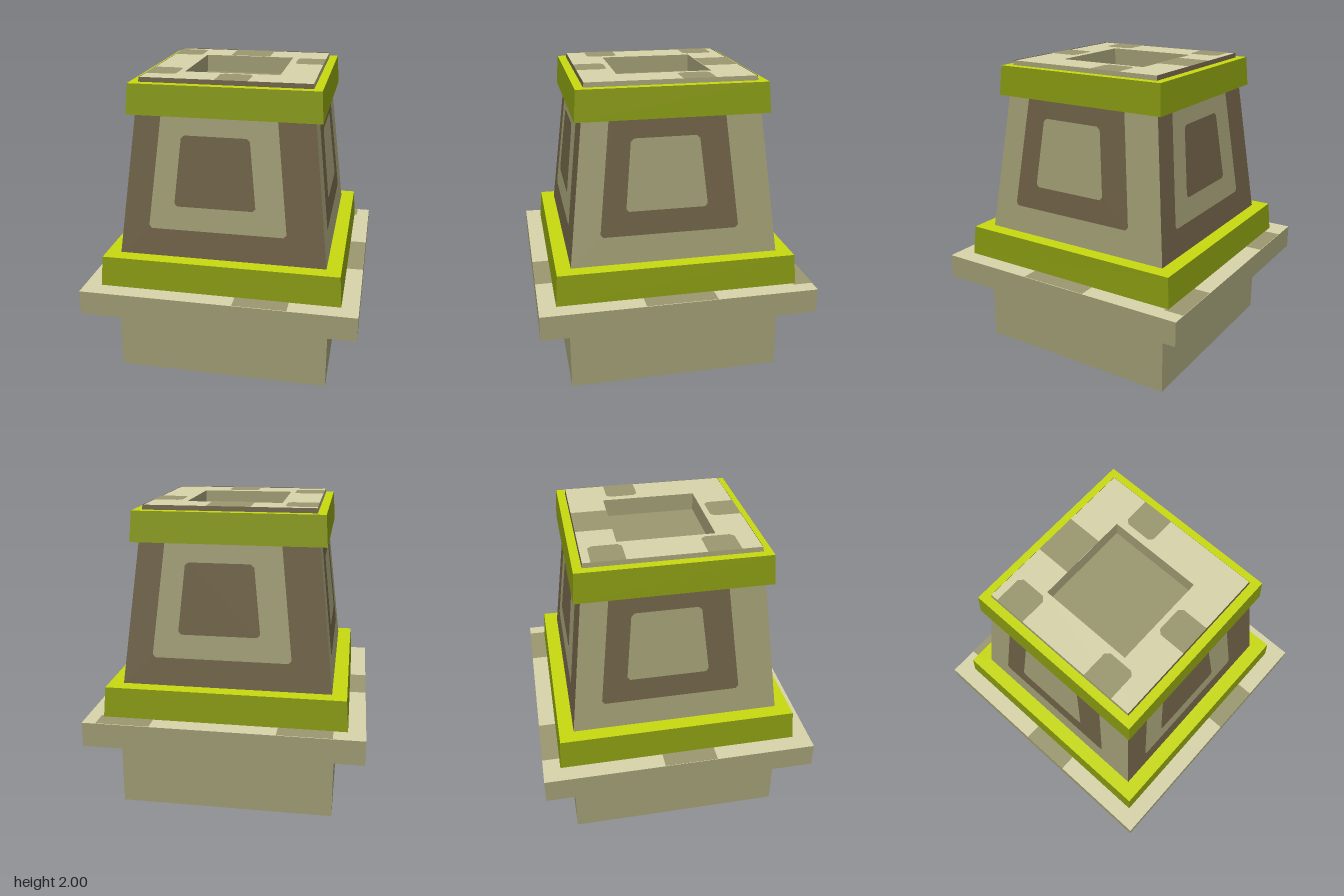
import * as THREE from 'three';

const material = (name, color) => {
  const m = new THREE.MeshStandardMaterial({ color, side: THREE.DoubleSide, flatShading: true });
  m.name = name;
  return m;
};

export function createModel() {
  const pale = material('pale stone', 0xd6d2a9);
  const stone = material('stone', 0x99966f);
  const brown = material('brown panel', 0x695c42);
  const lime = material('bright green trim', 0xc6d810);
  const green = material('green trim', 0x829310);
  const model = new THREE.Group();

  const add = (name, geometry, mat, parent = model) => {
    const mesh = new THREE.Mesh(geometry, mat);
    mesh.name = name;
    parent.add(mesh);
    return mesh;
  };

  // Polygon with its corners cut by c, except those lying on the border
  const cutShape = (corners, c = 0, border = Infinity) => {
    const p = corners.map(([x, y]) => new THREE.Vector2(x, y));
    const out = [];
    p.forEach((v, i) => {
      if (!c || Math.max(Math.abs(v.x), Math.abs(v.y)) >= border) return out.push(v);
      for (const w of [p[(i + p.length - 1) % p.length], p[(i + 1) % p.length]]) {
        out.push(v.clone().add(w.clone().sub(v).setLength(c)));
      }
    });
    return new THREE.Shape(out);
  };
  const rect = (x0, x1, y0, y1) => [[x0, y0], [x1, y0], [x1, y1], [x0, y1]];

  // Horizontal sheet facing up; z0 < z1
  const flat = (name, x0, x1, z0, z1, y, mat, c = 0, border = Infinity) => {
    const g = new THREE.ShapeGeometry(cutShape(rect(x0, x1, -z1, -z0), c, border));
    add(name, g.rotateX(-Math.PI / 2).translate(0, y, 0), mat);
  };

  // Horizontal square frame, facing up or down
  const frame = (name, half, hole, y, mat, turn = -Math.PI / 2) => {
    const s = cutShape(rect(-half, half, -half, half));
    s.holes.push(new THREE.Path(cutShape(rect(-hole, hole, -hole, hole)).getPoints().reverse()));
    add(name, new THREE.ShapeGeometry(s).rotateX(turn).translate(0, y, 0), mat);
  };

  // Four upright sheets around a square; inward flips them to line a pit
  const walls = (name, half, y0, y1, mat, inward = false) => {
    for (let k = 0; k < 4; k++) {
      const g = new THREE.PlaneGeometry(half * 2, y1 - y0);
      if (inward) g.rotateY(Math.PI);
      g.translate(0, (y0 + y1) / 2, half).rotateY(k * Math.PI / 2);
      add(name, g, mat);
    }
  };

  // Sloping band around the body with a brighter top
  const band = (name, low, high, y0, y1, hole) => {
    const g = new THREE.CylinderGeometry(high * Math.SQRT2, low * Math.SQRT2, y1 - y0, 4, 1, true);
    add(name, g.rotateY(Math.PI / 4).translate(0, (y0 + y1) / 2, 0), green);
    frame(name + 'Top', high, hole, y1, lime);
    frame(name + 'Underside', low, hole, y0, green, Math.PI / 2);
  };

  // Foot: hollow box, stepped on its underside
  const b = 0.707, third = b / 3;
  walls('footWall', b, 0, 0.645, stone);
  for (let i = 0; i < 3; i++) {
    const x0 = -b + i * 2 * third, y = i * 0.244;
    const tread = new THREE.PlaneGeometry(2 * third, 2 * b).rotateX(Math.PI / 2);
    add('footStep', tread.translate(x0 + third, y, 0), pale);
    if (i) {
      const riser = new THREE.PlaneGeometry(2 * b, 0.244).rotateY(Math.PI / 2);
      add('footRiser', riser.translate(x0, y - 0.122, 0), stone);
    }
  }

  // Ledge: lid and rim, open below
  const e = 0.902;
  walls('ledgeRim', e, 0.487, 0.65, stone);
  flat('ledgeTop', -e, e, -e, e, 0.65, pale);
  const ledgePatches = [
    [-0.7, -0.35, -e, -0.77], [0.46, 0.81, -e, -0.77], [0.11, 0.46, 0.77, e],
    [-e, -0.77, -0.115, 0.235], [0.77, e, -0.23, 0.235],
  ];
  for (const p of ledgePatches) flat('ledgePatch', ...p, 0.653, stone);

  // Green bands
  band('lowerBand', 0.79, 0.775, 0.652, 0.852, 0.67);
  band('upperBand', 0.618, 0.604, 1.775, 1.97, 0.545);

  // Tapered body: four sides with nested panels in alternating colours
  const half = y => 0.68 - (y - 0.85) * 0.1174;
  const panel = (name, corners, cut, offset, mat, parent) => {
    const g = new THREE.ShapeGeometry(cutShape(corners, cut));
    const pos = g.attributes.position;
    for (let i = 0; i < pos.count; i++) pos.setZ(i, half(pos.getY(i)) + offset);
    g.computeVertexNormals();
    add(name, g, mat, parent);
  };
  for (let k = 0; k < 4; k++) {
    const side = new THREE.Group();
    side.name = 'bodySide';
    side.rotation.y = k * Math.PI / 2;
    model.add(side);
    const [outer, inner] = k % 2 ? [stone, brown] : [brown, stone];
    const h0 = half(0.85), h1 = half(2);
    panel('bodyFace', [[-h0, 0.85], [h0, 0.85], [h1, 2], [-h1, 2]], 0, 0, outer, side);
    panel('framePanel', [[-0.485, 1.035], [0.42, 1.035], [0.33, 1.85], [-0.395, 1.85]], 0.02, 0.003, inner, side);
    panel('centrePanel', [[-0.315, 1.192], [0.217, 1.192], [0.167, 1.652], [-0.27, 1.652]], 0.02, 0.006, outer, side);
  }

  // Top slab with a square pit
  const t = 0.545, pit = 0.31;
  frame('topFace', t, pit, 1.997, pale);
  walls('pitWall', pit, 1.88, 1.997, stone, true);
  flat('pitFloor', -pit, pit, -pit, pit, 1.88, stone);
  const topPatches = [
    [-t, -0.345, -0.495, -0.285], [-t, -0.345, 0.205, 0.415],
    [0.355, t, -0.28, -0.07], [-0.065, 0.145, 0.345, t],
  ];
  for (const p of topPatches) flat('topPatch', ...p, 2, stone, 0.025, t);
  flat('topPatch', -0.135, 0.145, -t, -pit, 2, stone);

  return model;
}
